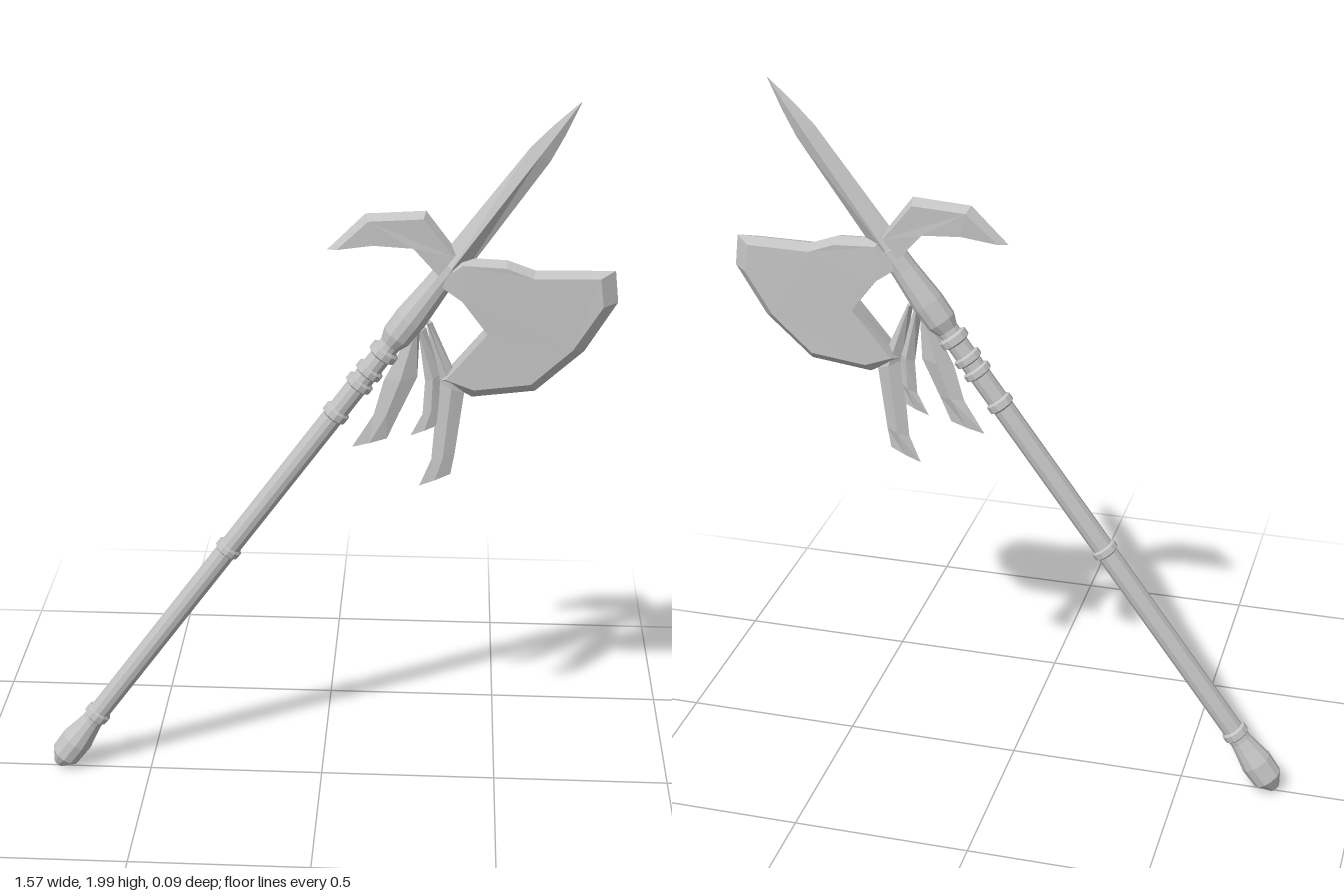
import * as THREE from 'three';

// Shaft line: point at distance s from the foot, offset h to the right of the line
const FOOT = [-0.772, 0.009], DIR = [0.587, 0.81];
const onAxis = (s, h = 0) => [
  FOOT[0] + DIR[0] * s + DIR[1] * h,
  FOOT[1] + DIR[1] * s - DIR[0] * h,
];

function fromTriangles(tris) {
  const geo = new THREE.BufferGeometry();
  geo.setAttribute('position', new THREE.Float32BufferAttribute(tris.flat(), 3));
  geo.computeVertexNormals();
  return geo;
}

// Diamond section strip, rows run downward: [left, right, half thickness]
function diamondStrip(rows) {
  const rings = rows.map(([l, r, t]) => {
    const mx = (l[0] + r[0]) / 2, my = (l[1] + r[1]) / 2;
    return [[...l, 0], [mx, my, t], [...r, 0], [mx, my, -t]];
  });
  const tris = [];
  for (let k = 0; k < rings.length - 1; k++) {
    const a = rings[k], b = rings[k + 1];
    for (let i = 0; i < 4; i++) {
      const j = (i + 1) % 4;
      tris.push(a[i], b[i], b[j], a[i], b[j], a[j]);
    }
  }
  const p = rings[0], q = rings[rings.length - 1];
  tris.push(p[0], p[1], p[2], p[0], p[2], p[3]);
  tris.push(q[0], q[2], q[1], q[0], q[3], q[2]);
  return fromTriangles(tris);
}

// Blade with flat faces and a ridge round its rim.
// Points run clockwise: [rimX, rimY, faceX, faceY, half thickness]
function ridgedPlate(points) {
  const pts = [...points].reverse();
  const rim = pts.map((p) => [p[0], p[1], 0]);
  const front = pts.map((p) => [p[2], p[3], p[4]]);
  const back = pts.map((p) => [p[2], p[3], -p[4]]);
  const tris = [];
  const contour = pts.map((p) => new THREE.Vector2(p[2], p[3]));
  for (const [a, b, c] of THREE.ShapeUtils.triangulateShape(contour, [])) {
    tris.push(front[a], front[b], front[c], back[a], back[c], back[b]);
  }
  for (let i = 0; i < pts.length; i++) {
    const j = (i + 1) % pts.length;
    tris.push(rim[i], rim[j], front[j], rim[i], front[j], front[i]);
    tris.push(back[i], back[j], rim[j], back[i], rim[j], rim[i]);
  }
  return fromTriangles(tris);
}

export function createModel() {
  const model = new THREE.Group();
  const steel = new THREE.MeshStandardMaterial({ color: 0xc4c4c4 });
  steel.name = 'grey steel';
  steel.flatShading = true;

  const add = (name, geo, parent = model) => {
    const mesh = new THREE.Mesh(geo, steel);
    mesh.name = name;
    parent.add(mesh);
    return mesh;
  };

  // Turned parts share one leaning group
  const pole = new THREE.Group();
  pole.name = 'pole';
  pole.position.set(FOOT[0], FOOT[1], 0);
  pole.rotation.z = -Math.atan2(DIR[0], DIR[1]);
  model.add(pole);
  const turned = (name, profile) => add(name, new THREE.LatheGeometry(
    profile.map(([r, s]) => new THREE.Vector2(r, s)), 12), pole);

  turned('pommel', [[0, 0], [0.016, 0.002], [0.044, 0.04], [0.046, 0.1],
    [0.036, 0.15], [0.031, 0.18], [0.031, 0.2]]);
  turned('shaft', [[0.03, 0.18], [0.03, 1.7]]);
  turned('socket', [[0.03, 1.63], [0.042, 1.66], [0.044, 1.72], [0.036, 1.83],
    [0.034, 1.9], [0, 1.91]]);

  // Binding rings: [centre, radius, half height]
  const rings = [[0.208, 0.037, 0.016], [0.871, 0.037, 0.014], [1.382, 0.037, 0.016],
    [1.49, 0.039, 0.014], [1.535, 0.039, 0.014], [1.6, 0.041, 0.016]];
  for (const [s, r, h] of rings) {
    turned('bindingRing', [[0.029, s - h], [r, s - h * 0.6], [r, s + h * 0.6], [0.029, s + h]]);
  }

  // Spear point: [distance, half width, half thickness]
  add('spearPoint', diamondStrip([[2.449, 0.001, 0.001], [2.36, 0.02, 0.009],
    [2.28, 0.032, 0.014], [1.87, 0.04, 0.032]]
    .map(([s, w, t]) => [onAxis(s, -w), onAxis(s, w), t])));

  add('axeBlade', ridgedPlate([
    [0.332, 1.532, 0.332, 1.532, 0.034],
    [0.369, 1.574, 0.372, 1.562, 0.036],
    [0.49, 1.569, 0.488, 1.557, 0.038],
    [0.565, 1.542, 0.56, 1.53, 0.038],
    [0.775, 1.545, 0.735, 1.532, 0.036],
    [0.785, 1.458, 0.745, 1.455, 0.038],
    [0.702, 1.32, 0.67, 1.335, 0.04],
    [0.575, 1.204, 0.562, 1.235, 0.04],
    [0.406, 1.183, 0.41, 1.215, 0.038],
    [0.321, 1.23, 0.335, 1.242, 0.036],
    [0.443, 1.373, 0.443, 1.373, 0.038],
    [0.374, 1.463, 0.374, 1.463, 0.038],
    [0.32, 1.5, 0.32, 1.5, 0.034],
  ]));

  add('backHook', ridgedPlate([
    [0.014, 1.59, 0.04, 1.594, 0.018],
    [0.115, 1.69, 0.123, 1.676, 0.03],
    [0.274, 1.7, 0.268, 1.686, 0.034],
    [0.358, 1.59, 0.35, 1.585, 0.034],
    [0.31, 1.532, 0.31, 1.532, 0.034],
    [0.242, 1.606, 0.242, 1.606, 0.034],
    [0.136, 1.611, 0.136, 1.611, 0.03],
  ]));

  // Hanging streamers, rows of left and right edges
  const streamers = [
    [[[0.247, 1.384], [0.263, 1.384]], [[0.168, 1.225], [0.258, 1.236]],
      [[0.141, 1.124], [0.21, 1.13]], [[0.083, 1.029], [0.178, 1.056]]],
    [[[0.258, 1.368], [0.279, 1.378]], [[0.279, 1.225], [0.321, 1.246]],
      [[0.274, 1.13], [0.321, 1.156]], [[0.242, 1.066], [0.316, 1.098]]],
    [[[0.279, 1.394], [0.295, 1.394]], [[0.316, 1.225], [0.385, 1.193]],
      [[0.3, 0.997], [0.363, 1.013]], [[0.268, 0.918], [0.353, 0.955]]],
  ];
  const depth = [0.018, 0.015, 0.012, 0.004];
  for (const rows of streamers) {
    add('streamer', diamondStrip(rows.map(([l, r], i) => [l, r, depth[i]])));
  }
  return model;
}
